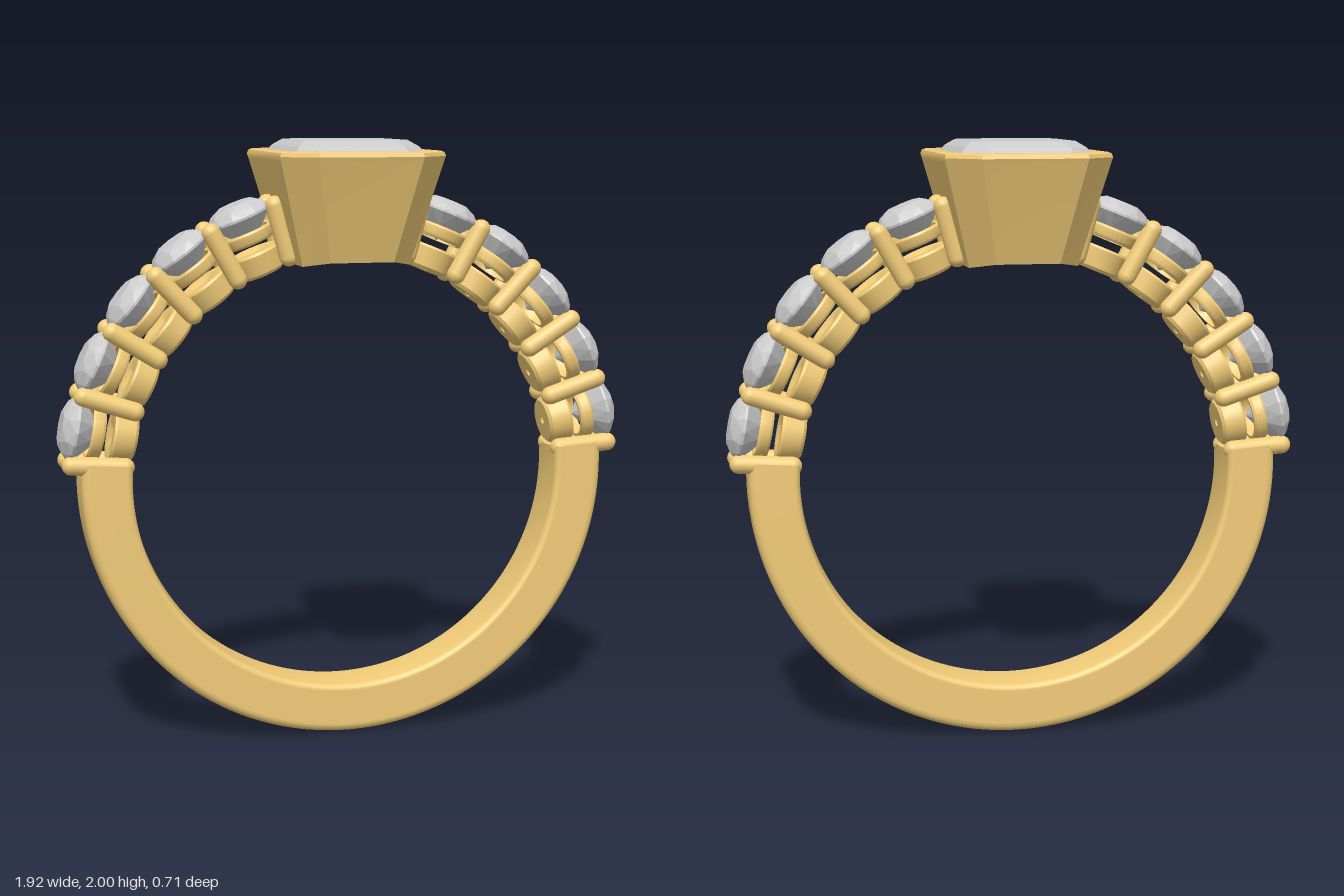
import * as THREE from 'three';
import { toCreasedNormals } from 'three/addons/utils/BufferGeometryUtils.js';
import { ConvexGeometry } from 'three/addons/geometries/ConvexGeometry.js';

const CENTRE_Y = 0.898, INNER = 0.722, OUTER = 0.896, HALF_WIDTH = 0.093;
const rad = THREE.MathUtils.degToRad;
const FIRST = rad(4), STEP = rad(14.1), STONES = 5;

const gold = new THREE.MeshStandardMaterial({ color: 0xf2cc78 });
const goldThin = new THREE.MeshStandardMaterial({ color: 0xf2cc78, side: THREE.DoubleSide });
const gem = new THREE.MeshStandardMaterial({ color: 0xcccccc, flatShading: true });

function mesh(name, geometry, material) {
  const m = new THREE.Mesh(geometry, material);
  m.name = name;
  return m;
}

// Rectangle with cut corners, counter-clockwise seen from above
function cutRect([hx, hz, c, y]) {
  const quarter = [[hx, hz - c], [hx, c - hz], [hx - c, -hz], [c - hx, -hz],
    [-hx, c - hz], [-hx, hz - c], [c - hx, hz], [hx - c, hz]];
  return quarter.map(([x, z]) => new THREE.Vector3(
    x, y ?? CENTRE_Y + Math.sqrt(INNER * INNER - x * x), z)); // no y: follow the finger hole
}

// Skin over a closed sequence of cut-corner loops
function loftClosed(sections) {
  const loops = sections.map(cutRect), pos = [];
  loops.forEach((lower, i) => {
    const upper = loops[(i + 1) % loops.length];
    lower.forEach((a, j) => {
      const k = (j + 1) % lower.length;
      for (const p of [a, lower[k], upper[k], a, upper[k], upper[j]]) pos.push(p.x, p.y, p.z);
    });
  });
  const g = new THREE.BufferGeometry();
  g.setAttribute('position', new THREE.Float32BufferAttribute(pos, 3));
  return toCreasedNormals(g, rad(35));
}

// Plain lower band: rounded section swept around the finger hole
function makeBand() {
  const band = new THREE.Group();
  band.name = 'band';
  const w = HALF_WIDTH, profile = [];
  const corner = (r, z, radius, from) => {
    for (let i = 0; i <= 6; i++) {
      const a = from + (i / 6) * Math.PI / 2;
      profile.push(new THREE.Vector2(r + radius * Math.cos(a), z + radius * Math.sin(a)));
    }
  };
  corner(OUTER - 0.032, -w + 0.03, 0.03, -Math.PI / 2);
  profile.push(new THREE.Vector2(OUTER, 0));
  corner(OUTER - 0.032, w - 0.03, 0.03, 0);
  corner(INNER + 0.026, w - 0.02, 0.02, Math.PI / 2);
  profile.push(new THREE.Vector2(INNER, 0));
  corner(INNER + 0.026, -w + 0.02, 0.02, Math.PI);
  profile.push(profile[0].clone());

  const end = FIRST + rad(0.5);
  const sweep = new THREE.LatheGeometry(profile, 120, -Math.PI / 2 - end, Math.PI + 2 * end);
  band.add(mesh('shank', sweep.rotateX(Math.PI / 2), gold));
  for (const angle of [end, Math.PI - end]) {
    const cap = new THREE.ShapeGeometry(new THREE.Shape(profile.slice(0, -1)));
    band.add(mesh('shankEnd', cap.rotateX(Math.PI / 2).rotateZ(angle), goldThin));
  }
  band.position.y = CENTRE_Y;
  return band;
}

// Round faceted stone, facing +y, girdle at y = 0
function roundStone() {
  const pts = [];
  const ring = (n, r, y, turn = 0) => {
    for (let i = 0; i < n; i++) {
      const a = ((i + turn) / n) * Math.PI * 2;
      pts.push(new THREE.Vector3(r * Math.cos(a), y, r * Math.sin(a)));
    }
  };
  ring(8, 0.06, 0.043);
  ring(8, 0.09, 0.027, 0.5);
  ring(16, 0.11, 0.004);
  ring(16, 0.11, -0.004);
  ring(8, 0.062, -0.052, 0.5);
  pts.push(new THREE.Vector3(0, -0.095, 0));
  return new ConvexGeometry(pts);
}

// Turned ring from a closed [radius, height] outline, with crisp edges
function turned(outline) {
  const pts = [...outline, outline[0]].map(([r, y]) => new THREE.Vector2(r, y));
  return toCreasedNormals(new THREE.LatheGeometry(pts, 32), rad(35));
}

// Stone-set shoulders on both sides
function makeShoulders() {
  const shoulders = new THREE.Group();
  shoulders.name = 'shoulders';
  const stoneGeo = roundStone();
  const cupGeo = turned([[0.013, INNER], [0.07, INNER], [0.08, 0.732], [0.09, 0.795],
    [0.085, 0.803], [0.05, 0.803], [0.013, 0.78]]);
  const collarGeo = turned([[0.074, 0.832], [0.085, 0.832], [0.092, 0.84], [0.095, 0.868],
    [0.09, 0.876], [0.078, 0.872]]);
  const prongGeo = new THREE.CapsuleGeometry(0.031, 0.175, 8, 20);

  for (const side of [1, -1]) {
    // group whose +y points outward from the ring centre
    const spoke = (name, angle) => {
      const g = new THREE.Group();
      g.name = name;
      g.position.y = CENTRE_Y;
      g.rotation.z = side * (angle - Math.PI / 2);
      shoulders.add(g);
      return g;
    };
    for (let i = 0; i < STONES; i++) {
      const seat = spoke('stoneSetting', FIRST + STEP * (i + 0.5));
      const stone = mesh('sideStone', stoneGeo, gem);
      stone.position.y = 0.925;
      seat.add(stone, mesh('seatCup', cupGeo, gold), mesh('seatCollar', collarGeo, gold));
    }
    for (let i = 0; i <= STONES; i++) {
      const pair = spoke('prongPair', FIRST + STEP * i);
      for (const z of [-0.06, 0.06]) {
        const prong = mesh('prong', prongGeo, gold);
        prong.position.set(0, 0.839, z);
        pair.add(prong);
      }
    }
  }
  return shoulders;
}

// Tapered bezel holding the step-cut centre stone
function makeHead() {
  const head = new THREE.Group();
  head.name = 'head';
  const bezel = loftClosed([
    [0.18, 0.237, 0.075],
    [0.268, 0.348, 0.1, 1.935],
    [0.272, 0.354, 0.102, 1.95],
    [0.268, 0.35, 0.1, 1.962],
    [0.257, 0.339, 0.096, 1.967],
    [0.232, 0.312, 0.084, 1.967],
    [0.222, 0.302, 0.079, 1.96],
    [0.218, 0.297, 0.077, 1.945],
    [0.21, 0.285, 0.07, 1.91],
    [0.09, 0.13, 0.03, 1.67],
    [0.09, 0.13, 0.03],
  ]);
  const stone = new ConvexGeometry([
    [0.17, 0.215, 0.055, 2.0],
    [0.198, 0.265, 0.067, 1.98],
    [0.222, 0.3, 0.078, 1.95],
    [0.222, 0.3, 0.078, 1.94],
    [0.15, 0.21, 0.05, 1.82],
    [0.03, 0.1, 0.012, 1.72],
  ].flatMap(cutRect));
  head.add(mesh('bezel', bezel, gold), mesh('centreStone', stone, gem));
  return head;
}

export function createModel() {
  const ring = new THREE.Group();
  ring.name = 'ring';
  ring.add(makeBand(), makeShoulders(), makeHead());
  return ring;
}
